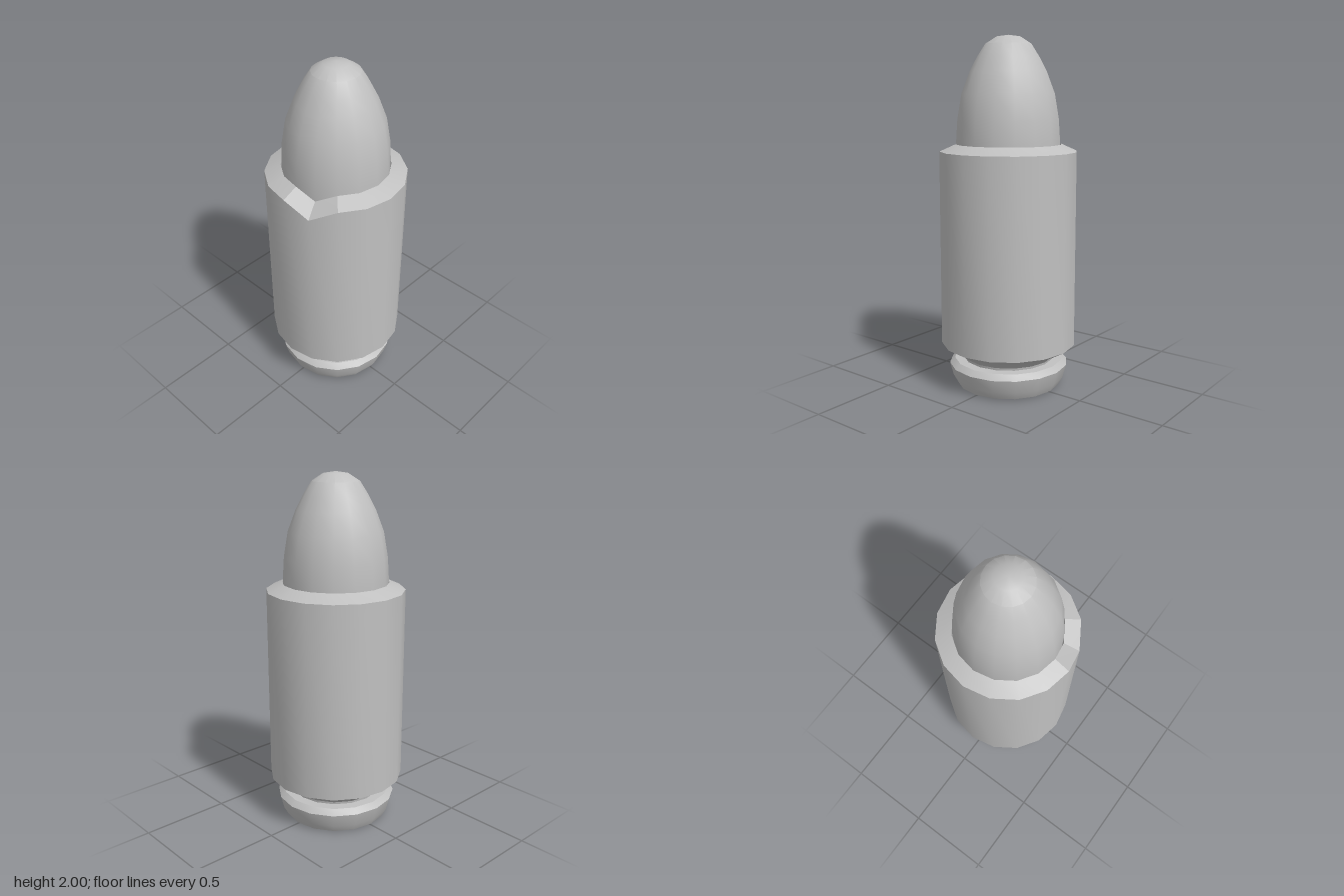
import * as THREE from 'three';
import { toCreasedNormals } from 'three/addons/utils/BufferGeometryUtils.js';

const SIDES = 16;

// Turned part from [radius, height] pairs, listed from the bottom upwards
function turned(name, points, material, adjust) {
  const geometry = new THREE.LatheGeometry(points.map(([r, y]) => new THREE.Vector2(r, y)), SIDES);
  if (adjust) adjust(geometry.attributes.position, points.length);
  const mesh = new THREE.Mesh(toCreasedNormals(geometry, 0.5), material);
  mesh.name = name;
  return mesh;
}

export function createModel() {
  const group = new THREE.Group();
  group.name = 'cartridge';
  const metal = new THREE.MeshStandardMaterial({ color: 0xc0c0c0 });
  metal.name = 'grey metal';

  // Rounded nose, seated inside the mouth of the case
  group.add(turned('bullet', [
    [0.293, 1.28], [0.295, 1.42], [0.287, 1.54], [0.263, 1.68], [0.217, 1.8],
    [0.175, 1.88], [0.13, 1.95], [0.068, 1.99], [0, 2],
  ], metal));

  // Straight case with bevelled ends and a small nick in the shoulder
  const NICK = 13;
  group.add(turned('case', [
    [0.26, 0.14], [0.265, 0.17], [0.285, 0.19], [0.39, 0.25],
    [0.39, 1.36], [0.3, 1.4], [0.293, 1.28],
  ], metal, (position, count) => {
    position.setY(NICK * count + 4, 1.29);
    position.setY(NICK * count + 5, 1.35);
  }));

  // Extractor rim, with the primer recess and firing dimple in its underside
  group.add(turned('rim', [
    [0, 0.035], [0.05, 0.035], [0.07, 0.015], [0.125, 0.015], [0.135, 0.045],
    [0.17, 0.045], [0.18, 0], [0.3, 0.005], [0.325, 0.05],
    [0.345, 0.125], [0.315, 0.155], [0.25, 0.157],
  ], metal));

  return group;
}
